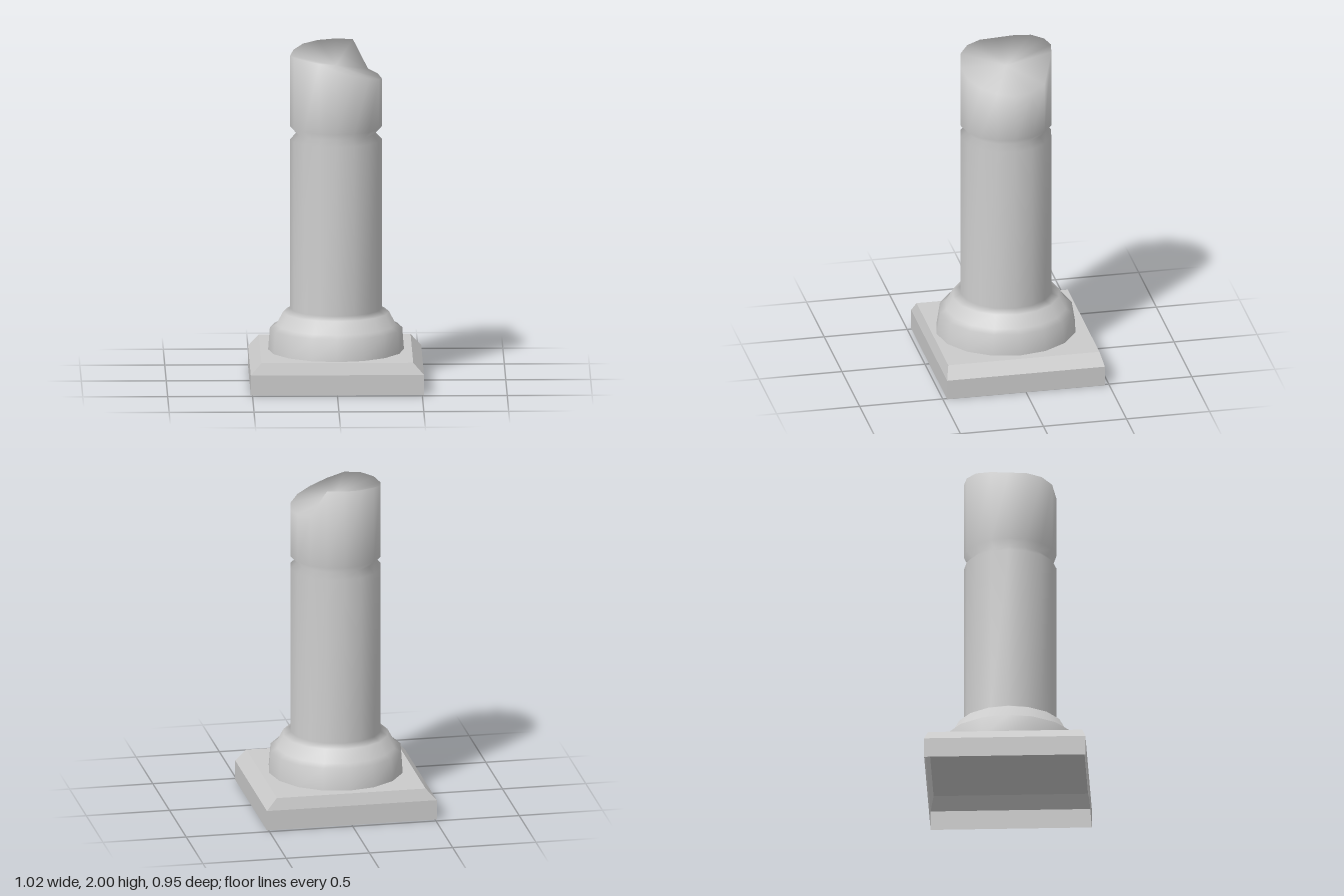
import * as THREE from 'three';

// Skin stacked rings of points (bottom to top) and close the top with a fan.
function loft(rings, apex) {
  const n = rings[0].length;
  const index = [];
  for (let j = 0; j < rings.length - 1; j++) {
    for (let i = 0; i < n; i++) {
      const k = (i + 1) % n;
      const a = j * n + i, b = j * n + k, c = a + n, d = b + n;
      index.push(a, c, b, b, c, d);
    }
  }
  const top = (rings.length - 1) * n;
  for (let i = 0; i < n; i++) index.push(top + n, top + (i + 1) % n, top + i);
  const geometry = new THREE.BufferGeometry();
  geometry.setAttribute('position', new THREE.Float32BufferAttribute([...rings, [apex]].flat(2), 3));
  geometry.setIndex(index);
  return geometry;
}

function createPlinth() {
  // Square slab with a bevelled top, open underneath
  const corners = (x, y, z) => [[x, y, z], [-x, y, z], [-x, y, -z], [x, y, -z]];
  const geometry = loft(
    [corners(0.51, 0, 0.475), corners(0.51, 0.12, 0.475), corners(0.447, 0.19, 0.455)],
    [0, 0.19, 0]
  ).toNonIndexed();
  geometry.computeVertexNormals();
  return geometry;
}

function createColumn() {
  const SIDES = 16, CENTRE_Z = 0.0125;
  // Height of the broken rim, from +x round through the front
  const rim = [1.81, 1.825, 1.845, 1.87, 1.905, 1.945, 1.955, 1.955,
    1.95, 1.965, 1.985, 1.995, 2.0, 2.0, 1.835, 1.82];
  const ring = (rx, rz, height) => Array.from({ length: SIDES }, (_, i) => {
    const a = (i / SIDES) * Math.PI * 2;
    return [rx * Math.cos(a), height(i), CENTRE_Z + rz * Math.sin(a)];
  });
  // Radius across, radius in depth, height
  const profile = [
    [0.40, 0.417, 0.19], [0.39, 0.396, 0.32], [0.352, 0.36, 0.34], [0.312, 0.318, 0.415],
    [0.27, 0.272, 0.437], [0.27, 0.272, 1.45], [0.235, 0.237, 1.487], [0.27, 0.272, 1.525],
  ];
  const rings = profile.map(([rx, rz, y]) => ring(rx, rz, () => y));
  rings.push(ring(0.27, 0.272, (i) => rim[i]));
  const geometry = loft(rings, [0, 1.89, CENTRE_Z]);
  geometry.computeVertexNormals();
  return geometry;
}

export function createModel() {
  const group = new THREE.Group();
  group.name = 'brokenColumn';
  const material = new THREE.MeshStandardMaterial({ color: 0xcccccc, side: THREE.DoubleSide });

  const plinth = new THREE.Mesh(createPlinth(), material);
  plinth.name = 'plinth';

  const column = new THREE.Mesh(createColumn(), material);
  column.name = 'columnShaft';

  group.add(plinth, column);
  return group;
}
